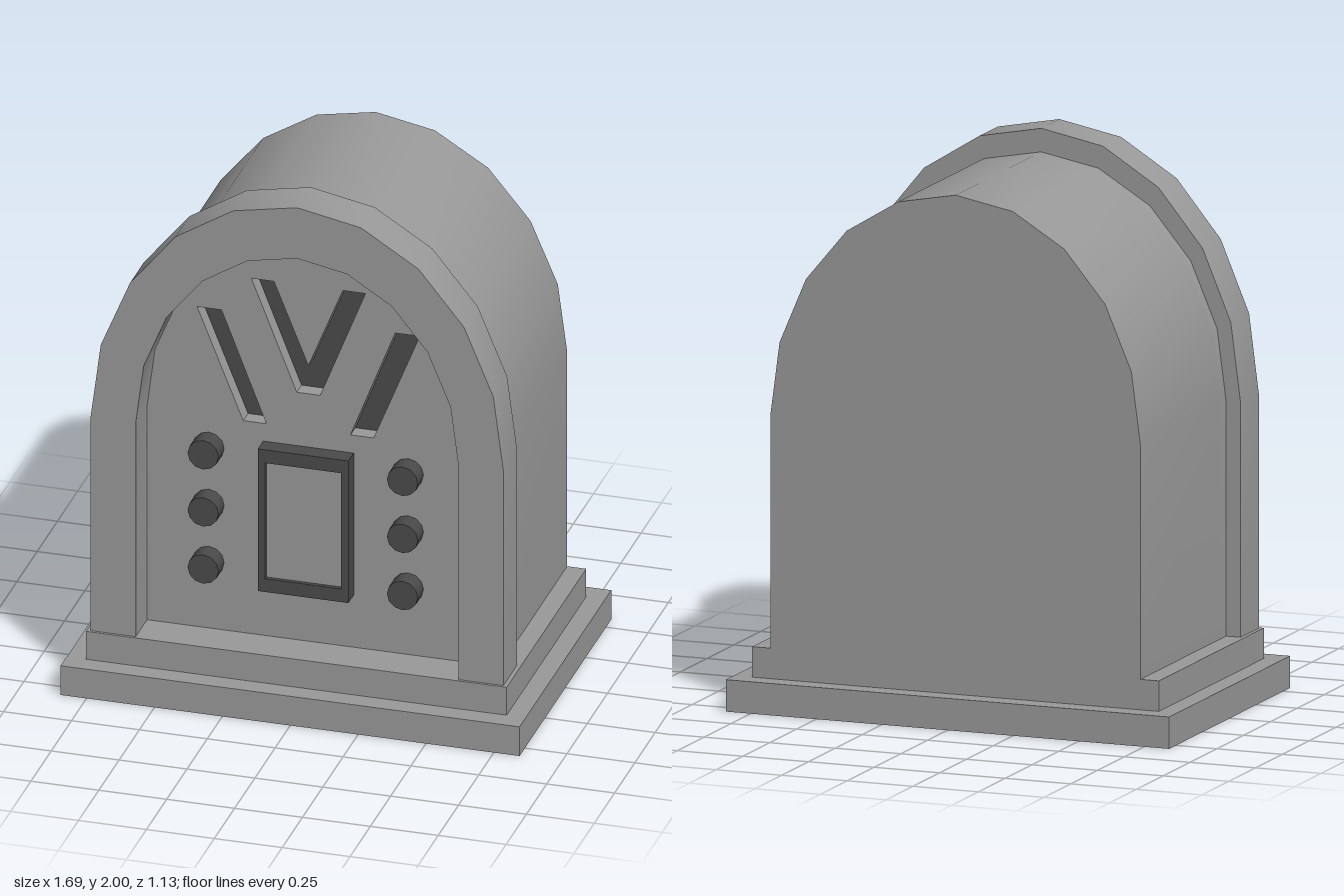
import * as THREE from 'three';
import { toCreasedNormals } from 'three/addons/utils/BufferGeometryUtils.js';

const BASE_TOP = 0.225;
const SPRING = 1.07; // height where the arch starts

export function createModel() {
  const group = new THREE.Group();
  const casing = new THREE.MeshStandardMaterial({ color: 0x999999 });
  casing.name = 'casing grey';
  const dark = new THREE.MeshStandardMaterial({ color: 0x4a4a4a });
  dark.name = 'dark trim';

  const add = (name, geometry, material, x = 0, y = 0, z = 0) => {
    const mesh = new THREE.Mesh(geometry, material);
    mesh.name = name;
    mesh.position.set(x, y, z);
    group.add(mesh);
    return mesh;
  };
  const box = (name, material, w, y0, y1, z0, z1) =>
    add(name, new THREE.BoxGeometry(w, y1 - y0, z1 - z0), material, 0, (y0 + y1) / 2, (z0 + z1) / 2);

  // Extrude a shape from z0 to z1, smooth along the arch and sharp at the rims
  const slab = (name, shape, material, z0, z1) => {
    const geometry = new THREE.ExtrudeGeometry(shape, { depth: z1 - z0, bevelEnabled: false });
    return add(name, toCreasedNormals(geometry, 0.6), material, 0, 0, z0);
  };

  const points = (list) => list.map(([x, y]) => new THREE.Vector2(x, y));

  // Straight sides topped by a ten-sided half ellipse, from right foot to left foot
  const archPoints = (rx, top) => {
    const list = [[rx, BASE_TOP]];
    for (let i = 0; i <= 10; i++) {
      const a = (i / 10) * Math.PI;
      list.push([rx * Math.cos(a), SPRING + (top - SPRING) * Math.sin(a)]);
    }
    list.push([-rx, BASE_TOP]);
    return points(list);
  };

  // Speaker slots: a centre V and a slanted bar on each side
  const bar = [[0.155, 1.06], [0.24, 1.06], [0.41, 1.485], [0.32, 1.485]];
  const slots = [
    [[-0.043, 1.2], [0.043, 1.2], [0.21, 1.625], [0.127, 1.625], [0, 1.31], [-0.127, 1.625], [-0.21, 1.625]],
    bar,
    bar.map(([x, y]) => [-x, y]).reverse(),
  ].map(points);
  const slotted = (outline) => {
    const shape = new THREE.Shape(outline);
    for (const slot of slots) shape.holes.push(new THREE.Path(slot));
    return shape;
  };

  // Stepped base
  box('lowerBase', casing, 1.69, 0, 0.115, -0.565, 0.565);
  box('upperBase', casing, 1.55, 0.115, BASE_TOP, -0.49, 0.49);

  // Cabinet, with the slots cut into its front layer
  const bodyOutline = archPoints(0.705, 1.915);
  slab('cabinet', new THREE.Shape(bodyOutline), casing, -0.49, 0.275);
  slab('cabinetFront', slotted(bodyOutline), casing, 0.275, 0.31);
  const inner = archPoints(0.594, 1.8);
  slab('frontPanel', slotted(inner), casing, 0.31, 0.34);
  for (const slot of slots) slab('slotBacking', new THREE.Shape(slot), dark, 0.273, 0.281);

  // Raised arch around the front, open at the foot
  const arch = new THREE.Shape([...archPoints(0.76, 2), ...inner.slice().reverse()]);
  slab('frontArch', arch, casing, 0.31, 0.48);

  // Dial window
  const rect = (w, y0, y1) => points([[-w, y0], [w, y0], [w, y1], [-w, y1]]);
  const dialFrame = new THREE.Shape(rect(0.167, 0.43, 0.99));
  dialFrame.holes.push(new THREE.Path(rect(0.14, 0.482, 0.938)));
  slab('dialFrame', dialFrame, dark, 0.34, 0.405);
  box('dialFace', casing, 0.28, 0.482, 0.938, 0.34, 0.39);

  // Three knobs on each side
  const knob = new THREE.CylinderGeometry(0.057, 0.057, 0.07, 12).rotateX(Math.PI / 2);
  for (const side of [-1, 1]) {
    for (const y of [0.94, 0.715, 0.49]) add('knob', knob, dark, side * 0.367, y, 0.375);
  }

  return group;
}
